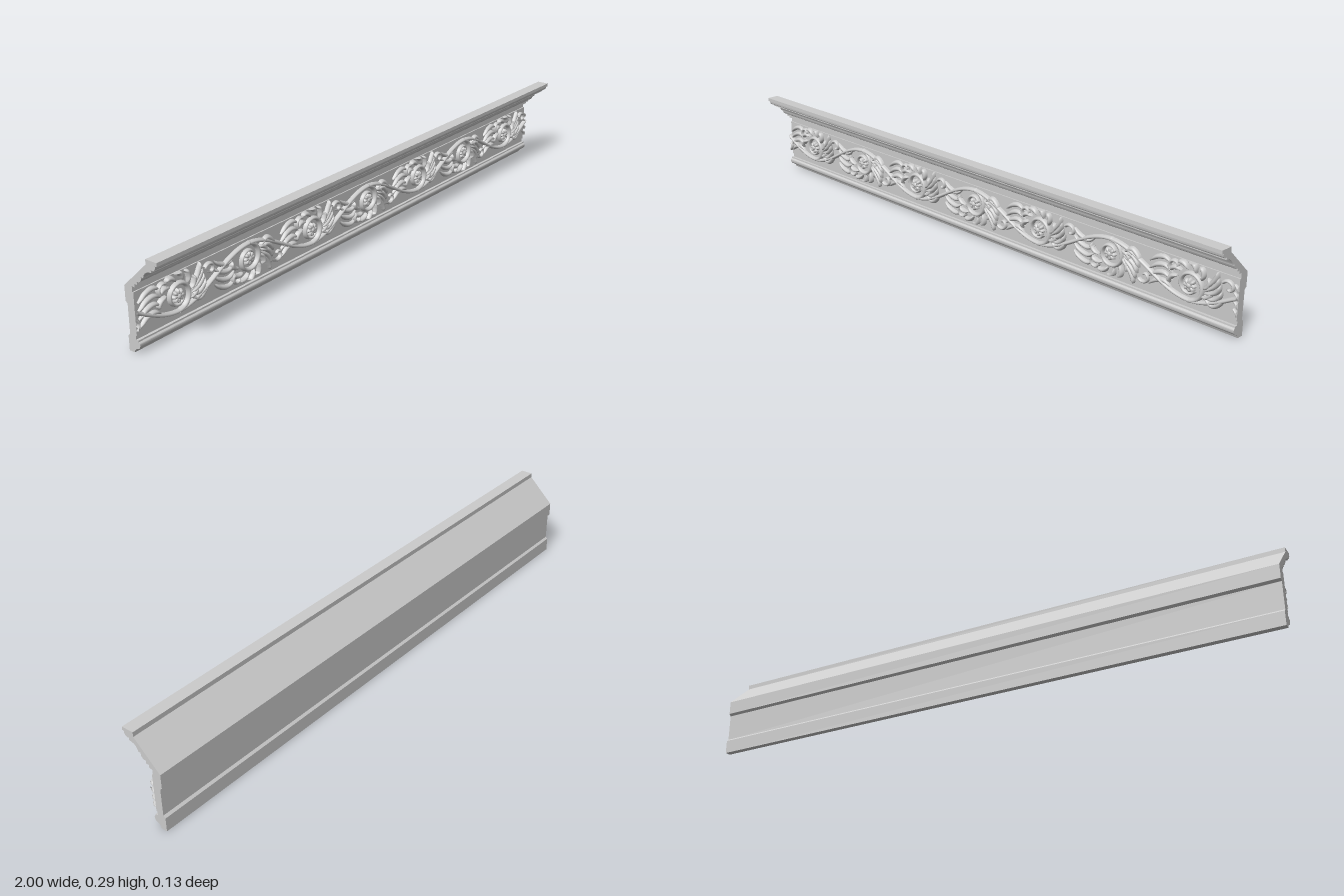
import * as THREE from 'three';
import { mergeGeometries, toCreasedNormals } from 'three/addons/utils/BufferGeometryUtils.js';

const FACE = -0.031;          // z of the frieze panel
const MID = 0.1175;           // centre height of the frieze
const STEP = 0.2825;          // spacing of the scrolls
const START = -0.85;
const material = new THREE.MeshStandardMaterial({ color: 0xcccccc, side: THREE.DoubleSide });

const clampX = (x) => THREE.MathUtils.clamp(x, -1, 1);
const clampY = (y) => THREE.MathUtils.clamp(y, 0.055, 0.181);

// Moulding cross-section, drawn as (z, y)
function profileShape() {
  const s = new THREE.Shape();
  s.moveTo(-0.064, 0);
  s.lineTo(-0.044, 0);
  s.quadraticCurveTo(-0.042, 0.012, -0.031, 0.014);
  s.bezierCurveTo(-0.018, 0.018, -0.018, 0.034, -0.026, 0.036);
  s.lineTo(-0.026, 0.041);
  s.lineTo(-0.035, 0.041);
  s.lineTo(-0.035, 0.054);
  s.lineTo(FACE, 0.054);
  s.lineTo(FACE, 0.181);
  s.lineTo(-0.035, 0.181);
  s.lineTo(-0.035, 0.198);
  s.lineTo(-0.024, 0.198);
  s.lineTo(-0.024, 0.208);
  s.lineTo(-0.014, 0.208);
  s.lineTo(-0.014, 0.217);
  s.bezierCurveTo(-0.002, 0.216, 0.005, 0.224, 0.003, 0.235);
  s.lineTo(0.012, 0.235);
  s.quadraticCurveTo(0.016, 0.257, 0.043, 0.258);
  s.lineTo(0.043, 0.266);
  s.bezierCurveTo(0.055, 0.264, 0.061, 0.270, 0.059, 0.281);
  s.lineTo(0.066, 0.281);
  s.lineTo(0.066, 0.292);
  s.lineTo(0.025, 0.292);
  s.lineTo(0.025, 0.277);
  s.lineTo(-0.064, 0.193);
  s.lineTo(-0.064, 0.148);
  s.lineTo(-0.057, 0.141);
  s.lineTo(-0.057, 0.052);
  s.lineTo(-0.064, 0.045);
  s.closePath();
  return s;
}

// Half-round relief swept along a flat path; width(t) gives the half width
function relief(points, width, height, steps = 20, sides = 6) {
  const curve = new THREE.CatmullRomCurve3(points.map(([x, y]) => new THREE.Vector3(x, y, 0)));
  const pos = [], index = [];
  for (let i = 0; i <= steps; i++) {
    const t = i / steps, p = curve.getPoint(t), d = curve.getTangent(t), w = width(t);
    for (let j = 0; j <= sides; j++) {
      const a = Math.PI * j / sides, o = w * Math.cos(a);
      pos.push(clampX(p.x - d.y * o), clampY(p.y + d.x * o),
        FACE - 0.001 + height * Math.sin(a) * Math.min(1, 0.3 + w / 0.008));
    }
  }
  const inside = (k) => Math.abs(pos[k * 3]) < 1;
  for (let i = 0; i < steps; i++) for (let j = 0; j < sides; j++) {
    const a = i * (sides + 1) + j, b = a + sides + 1;
    if (![a, a + 1, b, b + 1].some(inside)) continue;
    index.push(a, a + 1, b + 1, a, b + 1, b);
  }
  const g = new THREE.BufferGeometry();
  g.setAttribute('position', new THREE.Float32BufferAttribute(pos, 3));
  g.setIndex(index);
  g.computeVertexNormals();
  return g;
}

const leafWidth = (w) => (t) => w * Math.pow(Math.sin(Math.PI * (0.08 + 0.9 * t)), 0.8);

// Spiral path about (0, 0) from angle a0, turning by sweep
function spiral(cx, cy, a0, sweep, r0, r1, n = 14) {
  return Array.from({ length: n + 1 }, (_, i) => {
    const t = i / n, a = a0 + sweep * t, r = r0 + (r1 - r0) * t;
    return [cx + r * Math.cos(a), cy + r * Math.sin(a)];
  });
}

// One scroll with its leaves; flip turns it upside down
function scroll(cx, flip) {
  const place = (pts) => pts.map(([x, y]) => [cx + x, MID + flip * y]);
  const leaf = (pts, w, h) => relief(place(pts), leafWidth(w), h, 14);
  const parts = [];

  // spiral branch
  parts.push(relief(place(spiral(0, -0.004, -Math.PI / 2, Math.PI * 2.3, 0.047, 0.022)),
    (t) => 0.0075 - 0.003 * t, 0.014, 40));

  // leaves curling off the outside of the spiral
  for (let i = 0; i < 7; i++) {
    const a = -0.5 + i * 0.55, r = 0.046;
    parts.push(leaf([0, 0.35, 0.7, 1].map((t) => {
      const b = a + 0.55 * t, q = r + 0.025 * Math.sin(t * 1.9);
      return [q * Math.cos(b), q * Math.sin(b) - 0.004];
    }), 0.008, 0.015));
  }

  // fan of leaves towards the next scroll
  for (let i = 0; i < 5; i++) {
    const y = -0.03 + i * 0.019;
    parts.push(leaf([[0.05, -0.025 + i * 0.006], [0.078, y - 0.012],
      [0.102 - i * 0.004, y + 0.004], [0.112 - i * 0.006, y + 0.02]], 0.0085, 0.014));
  }

  // fan of leaves behind the scroll
  for (let i = 0; i < 4; i++) {
    const y = 0.05 - i * 0.024;
    parts.push(leaf([[-0.14, y - 0.022], [-0.115, y - 0.004],
      [-0.085, y + 0.002], [-0.06, y - 0.012]], 0.008, 0.012));
  }

  // small hooked tendrils
  parts.push(relief(place(spiral(-0.052, 0.04, -2.4, -5.2, 0.02, 0.005)), (t) => 0.0055 - 0.002 * t, 0.016, 28));
  parts.push(relief(place(spiral(0.125, 0.028, 2.6, -5, 0.022, 0.005)), (t) => 0.0055 - 0.002 * t, 0.013, 28));
  return mergeGeometries(parts);
}

// Flower at the heart of a scroll
function rosette(cx, flip) {
  const cy = MID - flip * 0.004, parts = [];
  for (let i = 0; i < 8; i++) {
    const a = i * Math.PI / 4, c = Math.cos(a), s = Math.sin(a);
    parts.push(relief([[cx + 0.006 * c, cy + 0.006 * s], [cx + 0.022 * c, cy + 0.022 * s]],
      leafWidth(0.0075), 0.014, 8));
  }
  const bud = new THREE.SphereGeometry(0.0095, 14, 8);
  bud.deleteAttribute('uv');
  bud.translate(cx, cy, FACE + 0.007);
  parts.push(bud);
  return mergeGeometries(parts);
}

export function createModel() {
  const group = new THREE.Group();
  const add = (geometry, name) => {
    const mesh = new THREE.Mesh(geometry, material);
    mesh.name = name;
    group.add(mesh);
  };

  // long moulding body
  const body = new THREE.ExtrudeGeometry(profileShape(), { depth: 2, bevelEnabled: false, curveSegments: 8 });
  body.rotateY(-Math.PI / 2);
  body.translate(1, 0, 0);
  add(toCreasedNormals(body, 0.5), 'mouldingBody');

  // wavy main stem running the whole length
  const stem = Array.from({ length: 73 }, (_, i) => {
    const x = -1.02 + 2.04 * i / 72;
    return [x, MID - 0.05 * Math.cos(Math.PI * (x - START) / STEP)];
  });
  add(relief(stem, () => 0.0065, 0.014, 180), 'frieze stem');

  // alternating scrolls and flowers
  for (let k = -1; k <= 7; k++) {
    const x = START + k * STEP, flip = k % 2 === 0 ? 1 : -1;
    add(scroll(x, flip), 'frieze scroll');
    if (Math.abs(x) < 0.95) add(rosette(x, flip), 'frieze rosette');
  }
  return group;
}
